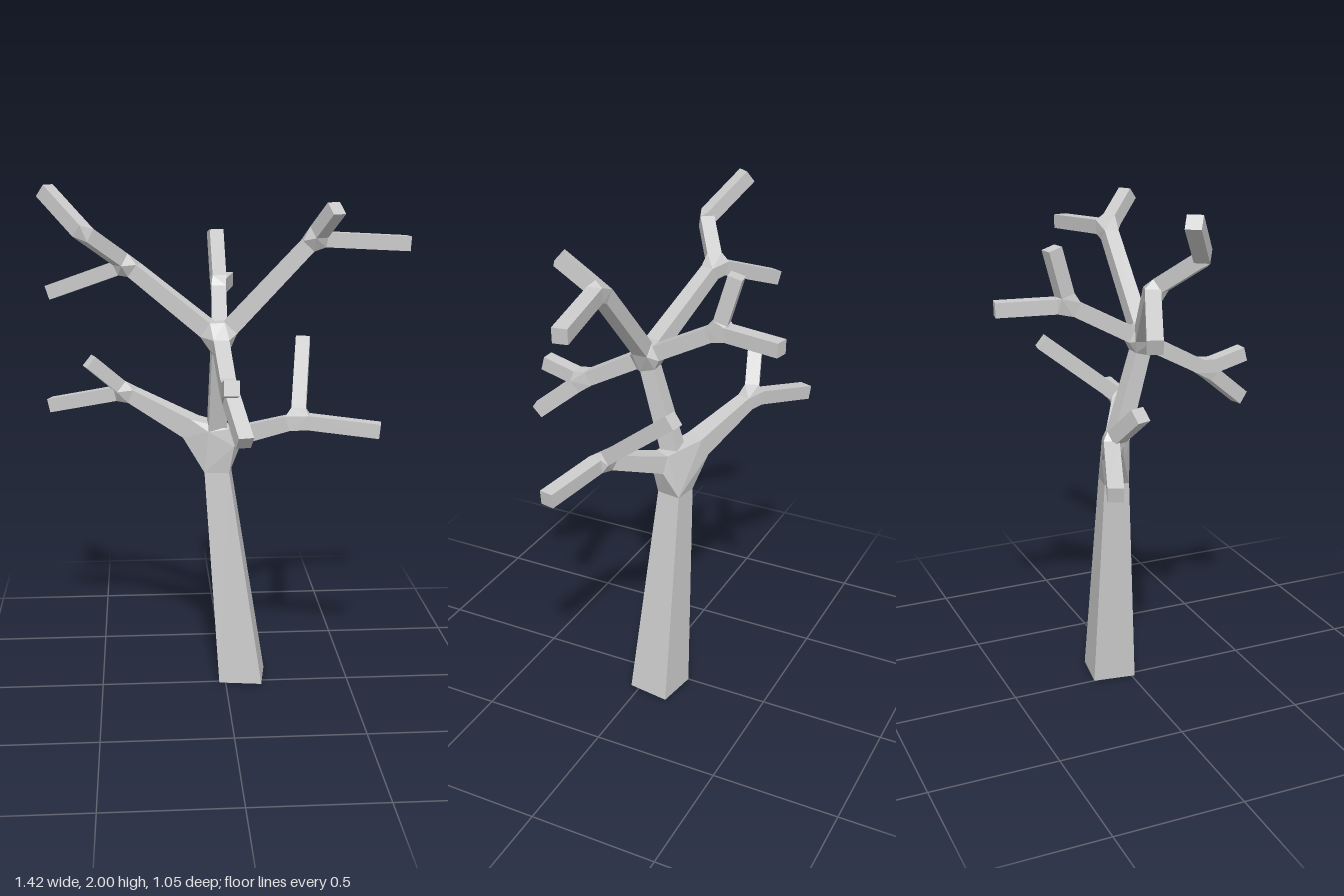
import * as THREE from 'three';
import { ConvexGeometry } from 'three/addons/geometries/ConvexGeometry.js';

const V = (p) => new THREE.Vector3(...p);
const UP = new THREE.Vector3(0, 1, 0);

// Square ring of four corners around a centre, spanned by two unit axes
function ring(c, a, b, h) {
  return [[1, 1], [1, -1], [-1, -1], [-1, 1]].map(([s, t]) =>
    c.clone().addScaledVector(a, s * h).addScaledVector(b, t * h));
}

// Level square ring turned about the vertical, for the trunk
function levelRing(c, h, yaw = 0.147) {
  const a = new THREE.Vector3(Math.cos(yaw), 0, Math.sin(yaw));
  return ring(V(c), a, new THREE.Vector3().crossVectors(a, UP), h);
}

// Square ring facing along a limb, kept upright
function limbRing(c, dir, h) {
  const side = new THREE.Vector3().crossVectors(dir, UP).normalize();
  return ring(c, side, new THREE.Vector3().crossVectors(side, dir), h);
}

export function createModel() {
  const tree = new THREE.Group();
  tree.name = 'bareTree';
  const bark = new THREE.MeshStandardMaterial({ color: 0xcccccc, flatShading: true });

  const solid = (name, points) => {
    const mesh = new THREE.Mesh(new ConvexGeometry(points), bark);
    mesh.name = name;
    tree.add(mesh);
  };

  // Tapered limb between two nodes; returns its end rings for the joints
  const limb = (name, from, to, gap0, gap1, h0, h1) => {
    const a = V(from), b = V(to);
    const dir = b.clone().sub(a).normalize();
    const start = limbRing(a.addScaledVector(dir, gap0), dir, h0);
    const end = limbRing(b.addScaledVector(dir, -gap1), dir, h1);
    solid(name, [...start, ...end]);
    return { start, end };
  };

  // Bough ending in a fork of two or more twigs; a twig may bend on the way
  const bough = (name, from, gap, h, fork, twigs) => {
    const main = limb(name, from, fork, gap, 0.035, h, 0.029);
    const joint = [...main.end];
    twigs.forEach((path) => {
      let previous = fork, last = null;
      path.forEach((node, i) => {
        const tip = i === path.length - 1;
        const twig = limb(name + 'Twig', previous, node, i ? 0.015 : 0.04, tip ? 0 : 0.015, 0.028, 0.028);
        if (last) solid(name + 'Bend', [...last, ...twig.start]);
        else joint.push(...twig.start);
        last = twig.end;
        previous = node;
      });
    });
    solid(name + 'Fork', joint);
    return main.start;
  };

  // Trunk
  const lowerNode = [-0.03, 1.0, -0.08];
  const upperNode = [-0.025, 1.43, 0.045];
  const trunkTop = levelRing([-0.025, 0.88, -0.078], 0.049);
  solid('trunk', [...levelRing([0.072, 0, -0.06], 0.086), ...trunkTop]);
  const stem = limb('upperTrunk', lowerNode, upperNode, 0.06, 0.05, 0.036, 0.031);

  // Lower boughs and the crotch that joins them to the trunk
  const lowerRight = bough('lowerRightBough', lowerNode, 0.12, 0.042, [-0.385, 1.17, -0.24],
    [[[-0.695, 1.095, -0.355]], [[-0.53, 1.305, -0.19]]]);
  const lowerLeft = bough('lowerLeftBough', lowerNode, 0.085, 0.036, [0.275, 1.115, 0.08],
    [[[0.583, 1.085, 0.14]], [[0.33, 1.37, -0.24]]]);
  solid('lowerCrotch', [...trunkTop, ...stem.start, ...lowerRight, ...lowerLeft]);

  // Upper boughs and their crotch
  const upper = [
    bough('upperRightBough', upperNode, 0.06, 0.033, [-0.37, 1.7, -0.075],
      [[[-0.53, 1.83, 0.04], [-0.675, 1.98, -0.07]], [[-0.675, 1.58, -0.205]]]),
    bough('upperLeftBough', upperNode, 0.06, 0.031, [0.33, 1.805, 0.05],
      [[[0.7, 1.78, -0.01]], [[0.395, 1.925, 0.165]]]),
    bough('frontBough', upperNode, 0.05, 0.03, [-0.01, 1.285, 0.315],
      [[[-0.01, 1.33, 0.485]], [[0.035, 1.135, 0.5]]]),
    bough('backBough', upperNode, 0.06, 0.03, [-0.01, 1.59, -0.255],
      [[[-0.02, 1.805, -0.315]], [[0.04, 1.587, -0.52]]]),
  ];
  solid('upperCrotch', [...stem.end, ...upper.flat()]);

  return tree;
}
